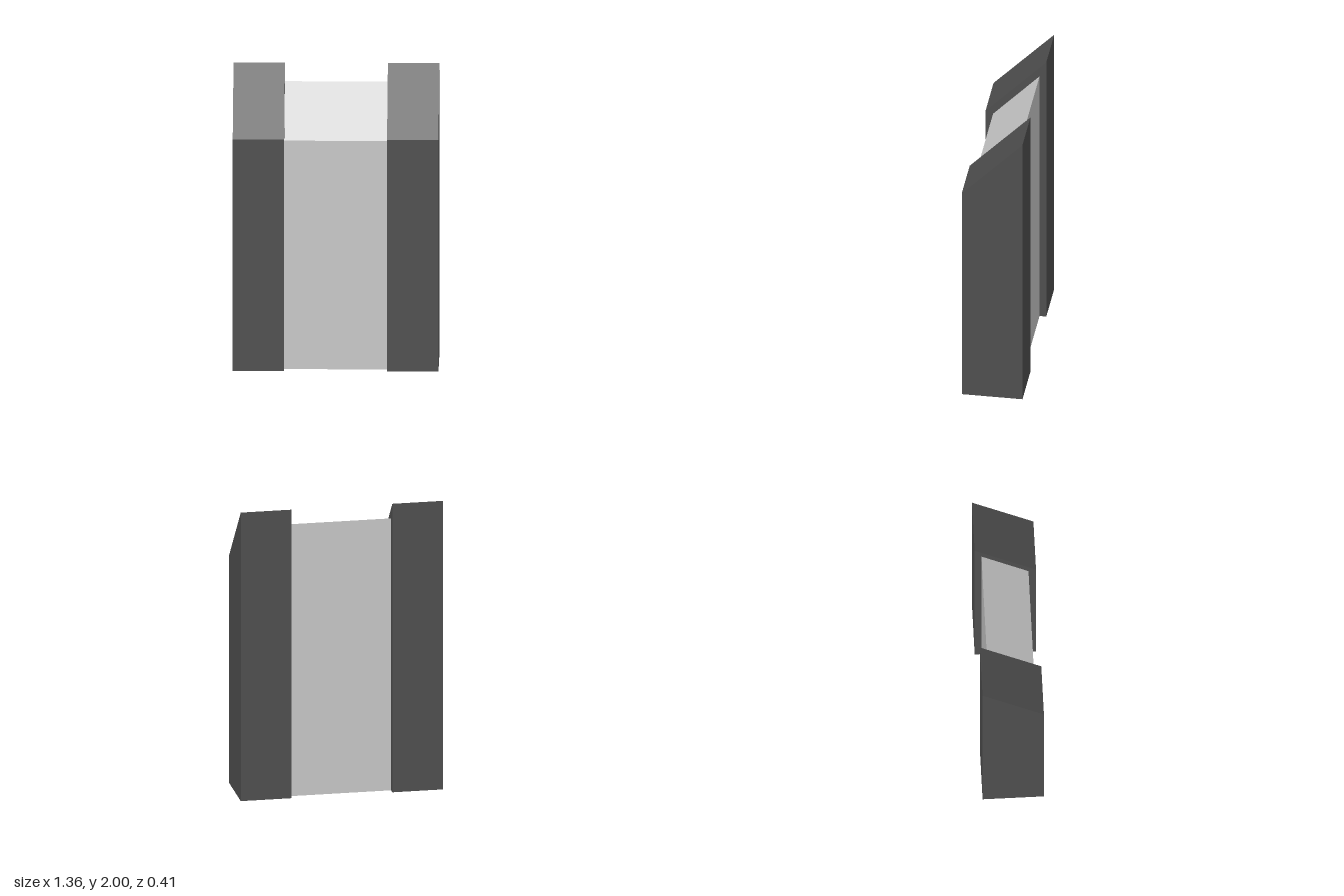
import * as THREE from 'three';

// Hollow block with a slanted top and no floor; side walls are optional.
function slantedShell(x0, x1, zFront, zBack, yFront, yBack, sideWalls) {
  const profile = [[0, zFront], [yFront, zFront], [yBack, zBack], [0, zBack]];
  const positions = [];
  const quad = (a, b, c, d) => positions.push(...a, ...b, ...c, ...a, ...c, ...d);
  const at = (x, i) => [x, ...profile[i]];

  // Front, slanted top and back
  for (let i = 0; i < 3; i++) {
    quad(at(x0, i), at(x1, i), at(x1, i + 1), at(x0, i + 1));
  }
  if (sideWalls) {
    quad(at(x1, 0), at(x1, 3), at(x1, 2), at(x1, 1));
    quad(at(x0, 0), at(x0, 1), at(x0, 2), at(x0, 3));
  }
  const geometry = new THREE.BufferGeometry();
  geometry.setAttribute('position', new THREE.Float32BufferAttribute(positions, 3));
  geometry.computeVertexNormals();
  return geometry;
}

function flatMaterial(name, color) {
  const material = new THREE.MeshStandardMaterial({ color, side: THREE.DoubleSide });
  material.name = name;
  return material;
}

export function createModel() {
  const model = new THREE.Group();
  model.name = 'slantedTower';
  const darkGrey = flatMaterial('darkGrey', 0x4f4f4f);
  const lightGrey = flatMaterial('lightGrey', 0xc8c8c8);

  const add = (name, geometry, material) => {
    const mesh = new THREE.Mesh(geometry, material);
    mesh.name = name;
    model.add(mesh);
  };

  // Dark side towers
  add('leftTower', slantedShell(0.34, 0.68, 0.203, -0.203, 1.58, 2, true), darkGrey);
  add('rightTower', slantedShell(-0.68, -0.34, 0.203, -0.203, 1.58, 2, true), darkGrey);

  // Recessed light core spanning between the towers
  add('core', slantedShell(-0.34, 0.34, 0.153, -0.158, 1.56, 1.885, false), lightGrey);

  return model;
}
